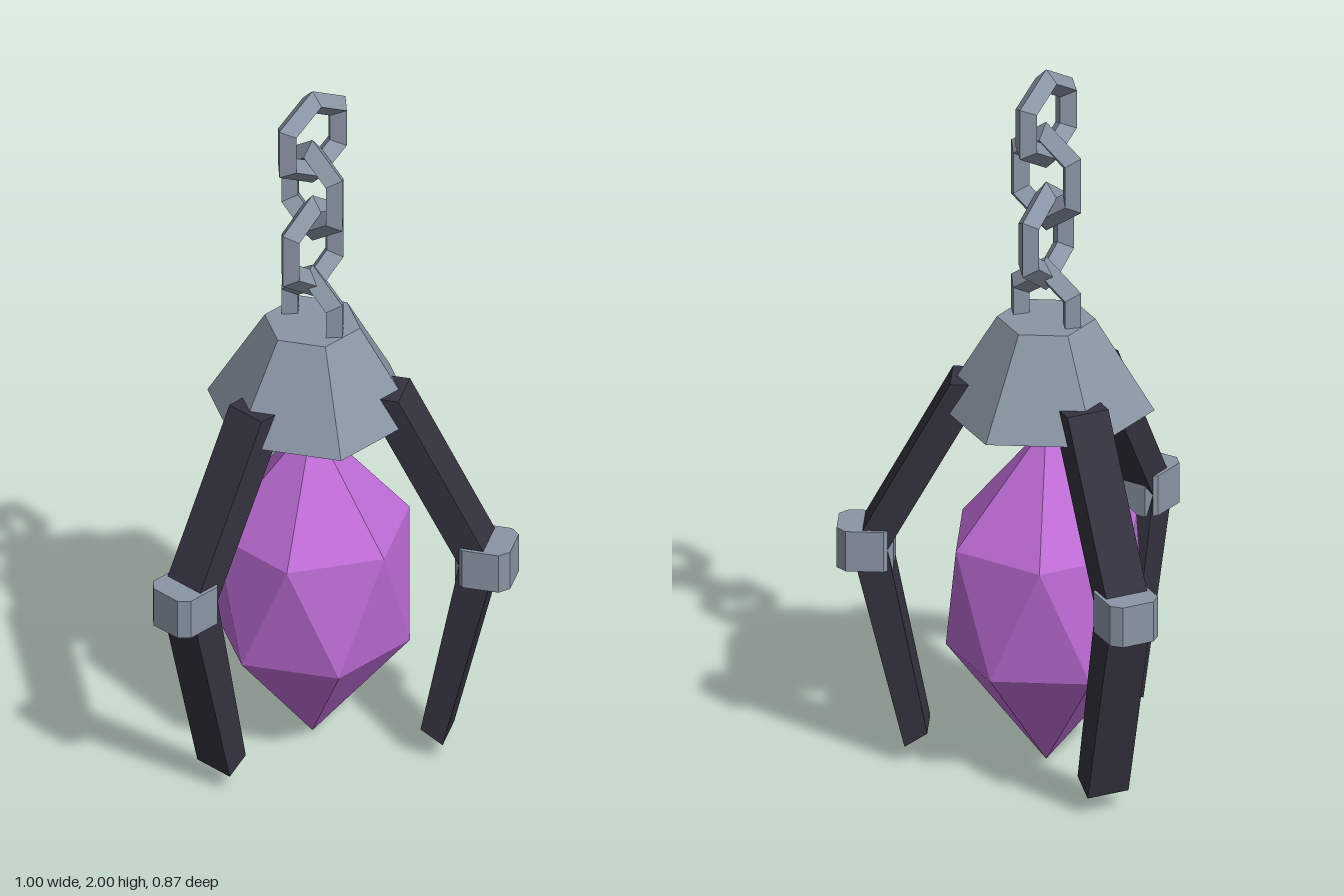
import * as THREE from 'three';

const mat = (name, color) => {
  const m = new THREE.MeshStandardMaterial({ color, flatShading: true });
  m.name = name;
  return m;
};

// Prism from a 2D outline, centred along its depth
function prism(points, depth) {
  const shape = new THREE.Shape(points.map(([x, y]) => new THREE.Vector2(x, y)));
  return new THREE.ExtrudeGeometry(shape, { depth, bevelEnabled: false }).translate(0, 0, -depth / 2);
}

// Faceted crystal: two six-point rings, half a step apart, between two tips
function crystalGeometry() {
  const pos = [];
  const ring = (i, y, offset) => {
    const a = ((i + offset) * Math.PI) / 3;
    return [Math.cos(a) * 0.265, y, -Math.sin(a) * 0.265];
  };
  const top = [0, 0.97, 0], bottom = [0, 0, 0];
  for (let i = 0; i < 6; i++) {
    const u0 = ring(i, 0.655, 0), u1 = ring(i + 1, 0.655, 0);
    const l0 = ring(i, 0.325, 0.5), l1 = ring(i + 1, 0.325, 0.5);
    pos.push(...top, ...u0, ...u1);
    pos.push(...u0, ...l0, ...u1);
    pos.push(...u1, ...l0, ...l1);
    pos.push(...bottom, ...l1, ...l0);
  }
  const g = new THREE.BufferGeometry();
  g.setAttribute('position', new THREE.Float32BufferAttribute(pos, 3));
  g.computeVertexNormals();
  return g;
}

export function createModel() {
  const steel = mat('steel grey', 0x8a96a5);
  const iron = mat('dark iron', 0x34323e);
  const violet = mat('violet crystal', 0xbd6cd5);

  const model = new THREE.Group();
  model.name = 'hangingCrystalLantern';
  const body = new THREE.Group();
  body.name = 'lanternBody';
  body.position.z = -0.11;
  model.add(body);

  const add = (parent, name, geometry, material) => {
    const mesh = new THREE.Mesh(geometry, material);
    mesh.name = name;
    parent.add(mesh);
    return mesh;
  };

  // Hexagonal cap
  add(body, 'cap', new THREE.CylinderGeometry(0.13, 0.286, 0.26, 6), steel).position.y = 1.15;

  // Crystal
  add(body, 'crystal', crystalGeometry(), violet);

  // Chain links, alternately turned: [height, ring radius, tube radius, stretch]
  const links = [
    [1.3, 0.095, 0.033, 1.23],
    [1.517, 0.095, 0.033, 1.23],
    [1.69, 0.095, 0.033, 1.23],
    [1.857, 0.109, 0.034, 1],
  ];
  links.forEach(([y, radius, tube, stretch], i) => {
    const g = new THREE.TorusGeometry(radius, tube, 4, 6).rotateZ(Math.PI / 6).scale(1, stretch, 1);
    const link = add(body, 'chainLink', g, steel);
    link.position.y = y;
    link.rotation.y = i % 2 ? Math.PI / 2 : 0;
  });

  // Bent arm, outlined as distance from the axis and height
  const armGeometry = prism([
    [0.15, 1.105], [0.415, 0.62], [0.31, 0.09], [0.37, 0.05], [0.51, 0.62], [0.25, 1.105],
  ], 0.12).rotateY(-Math.PI / 2);

  // Knuckle band with chamfered corners
  const knuckleGeometry = prism([
    [-0.045, 0.4], [0.045, 0.4], [0.07, 0.425], [0.07, 0.525],
    [0.045, 0.55], [-0.045, 0.55], [-0.07, 0.525], [-0.07, 0.425],
  ], 0.115).rotateX(Math.PI / 2).translate(0, 0.617, 0);

  // Three arms around the axis
  for (let i = 0; i < 3; i++) {
    const claw = new THREE.Group();
    claw.name = 'claw';
    claw.rotation.y = (i * 2 * Math.PI) / 3;
    add(claw, 'arm', armGeometry, iron);
    add(claw, 'knuckle', knuckleGeometry, steel);
    body.add(claw);
  }

  return model;
}
